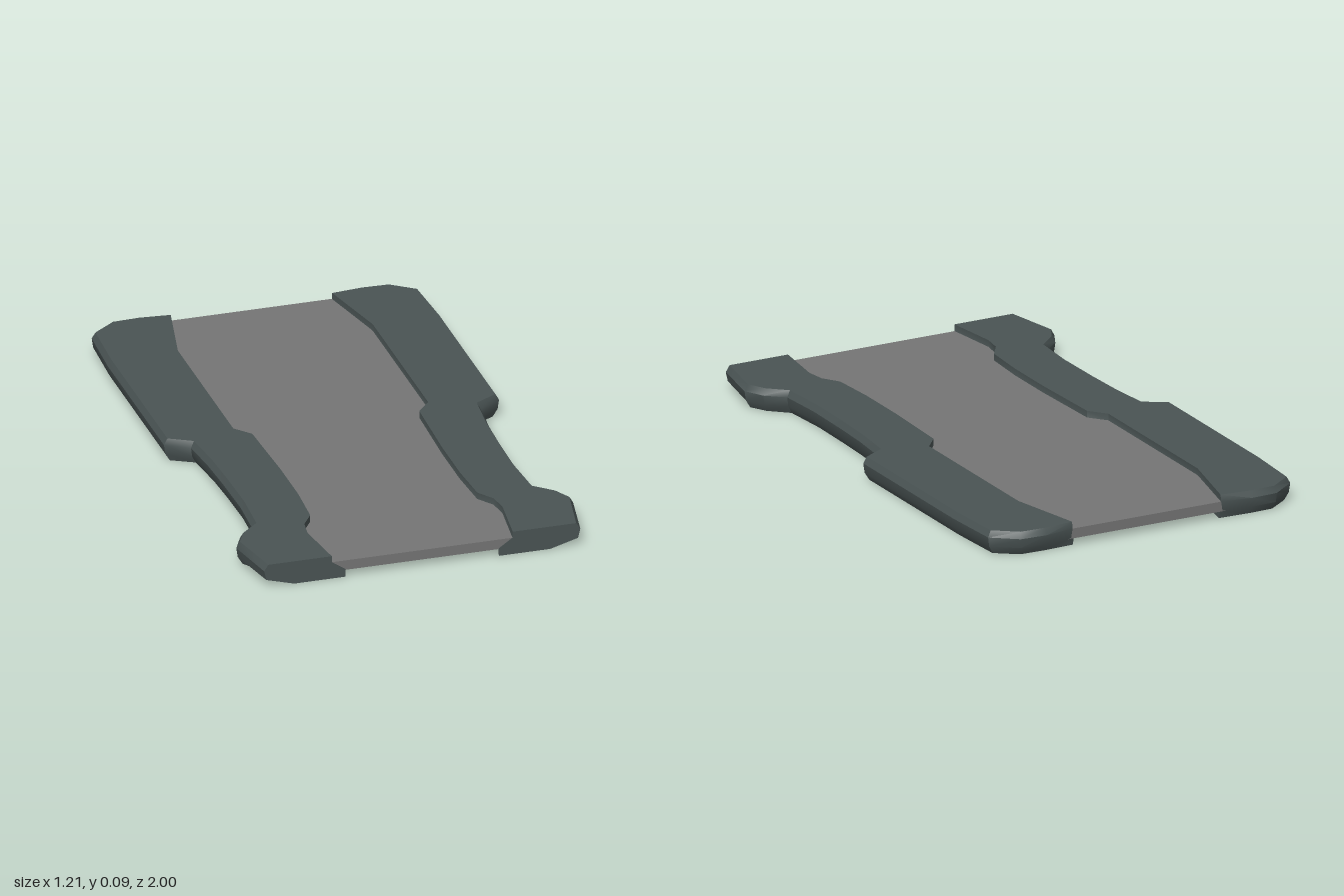
import * as THREE from 'three';
import { toCreasedNormals } from 'three/addons/utils/BufferGeometryUtils.js';

// Outer edge of a side rail in plan (x, z), back to front
const OUTER = [[0.29, -0.98], [0.40, -1], [0.50, -0.995], [0.59, -0.925], [0.602, -0.70], [0.602, -0.05],
  [0.52, 0], [0.506, 0.15], [0.5, 0.3], [0.497, 0.5], [0.507, 0.67], [0.57, 0.725], [0.605, 0.797], [0.568, 1]];
// Inner edge, front to back
const INNER = [[0.325, 1], [0.35, 0.8], [0.34, 0.73], [0.3, 0.67], [0.29, 0.5], [0.29, 0.3], [0.3, 0],
  [0.35, -0.06], [0.35, -0.70]];
// Levels: height, inset of the outer edge, x at the front tip, whether below the panel
const LEVELS = [
  { y: 0, inset: 0.022, tip: 0.46, low: true },
  { y: 0.028, inset: 0.005, tip: 0.56, low: true },
  { y: 0.062, inset: 0, tip: 0.568, low: false },
  { y: 0.085, inset: 0.013, tip: 0.553, low: false },
];

// Plan contour of one level, counter-clockwise seen from above
function contour({ inset, tip, low }) {
  const last = OUTER.length - 1;
  const outer = OUTER.map(([x, z], i) => {
    if (i === 0) return [low ? x - 0.005 : x, z + inset * 0.3];
    if (i === last) return [tip, 1];
    const [ax, az] = OUTER[i - 1], [bx, bz] = OUTER[i + 1];
    const dx = bx - ax, dz = bz - az, len = Math.hypot(dx, dz);
    return [x - inset * dz / len, z + inset * dx / len];
  });
  const inner = INNER.map(([x, z], i) => [low ? (i === 0 ? 0.275 : x - 0.015) : x, z]);
  return [...outer, ...inner].reverse();
}

// Solid lofted through the levels; side is 1 or -1
function railGeometry(side) {
  const rings = LEVELS.map(contour);
  const n = rings[0].length;
  const positions = [], index = [];
  const tri = (a, b, c) => (side > 0 ? index.push(a, b, c) : index.push(a, c, b));
  rings.forEach((ring, k) => ring.forEach(([x, z]) => positions.push(side * x, LEVELS[k].y, z)));
  for (let k = 0; k < rings.length - 1; k++) {
    for (let i = 0; i < n; i++) {
      const j = (i + 1) % n, a = k * n + i, b = k * n + j;
      tri(a, b, b + n);
      tri(a, b + n, a + n);
    }
  }
  // Top and bottom caps
  const cap = (ring) => THREE.ShapeUtils.triangulateShape(ring.map(([x, z]) => new THREE.Vector2(x, -z)), []);
  const top = (rings.length - 1) * n;
  cap(rings[rings.length - 1]).forEach(([a, b, c]) => tri(top + a, top + b, top + c));
  cap(rings[0]).forEach(([a, b, c]) => tri(a, c, b));
  const geometry = new THREE.BufferGeometry();
  geometry.setAttribute('position', new THREE.Float32BufferAttribute(positions, 3));
  geometry.setIndex(index);
  return toCreasedNormals(geometry, 0.6);
}

export function createModel() {
  const group = new THREE.Group();
  group.name = 'panelWithRails';
  const railMaterial = new THREE.MeshStandardMaterial({ color: 0x4a5454 });
  const panelMaterial = new THREE.MeshStandardMaterial({ color: 0x757575 });

  // Flat centre panel, its long edges held inside the rails
  const panel = new THREE.Mesh(new THREE.BoxGeometry(0.76, 0.036, 1.978), panelMaterial);
  panel.name = 'centrePanel';
  panel.position.set(0, 0.043, 0.009);
  group.add(panel);

  // Mirrored side rails
  for (const side of [1, -1]) {
    const rail = new THREE.Mesh(railGeometry(side), railMaterial);
    rail.name = side > 0 ? 'leftRail' : 'rightRail';
    group.add(rail);
  }
  return group;
}
